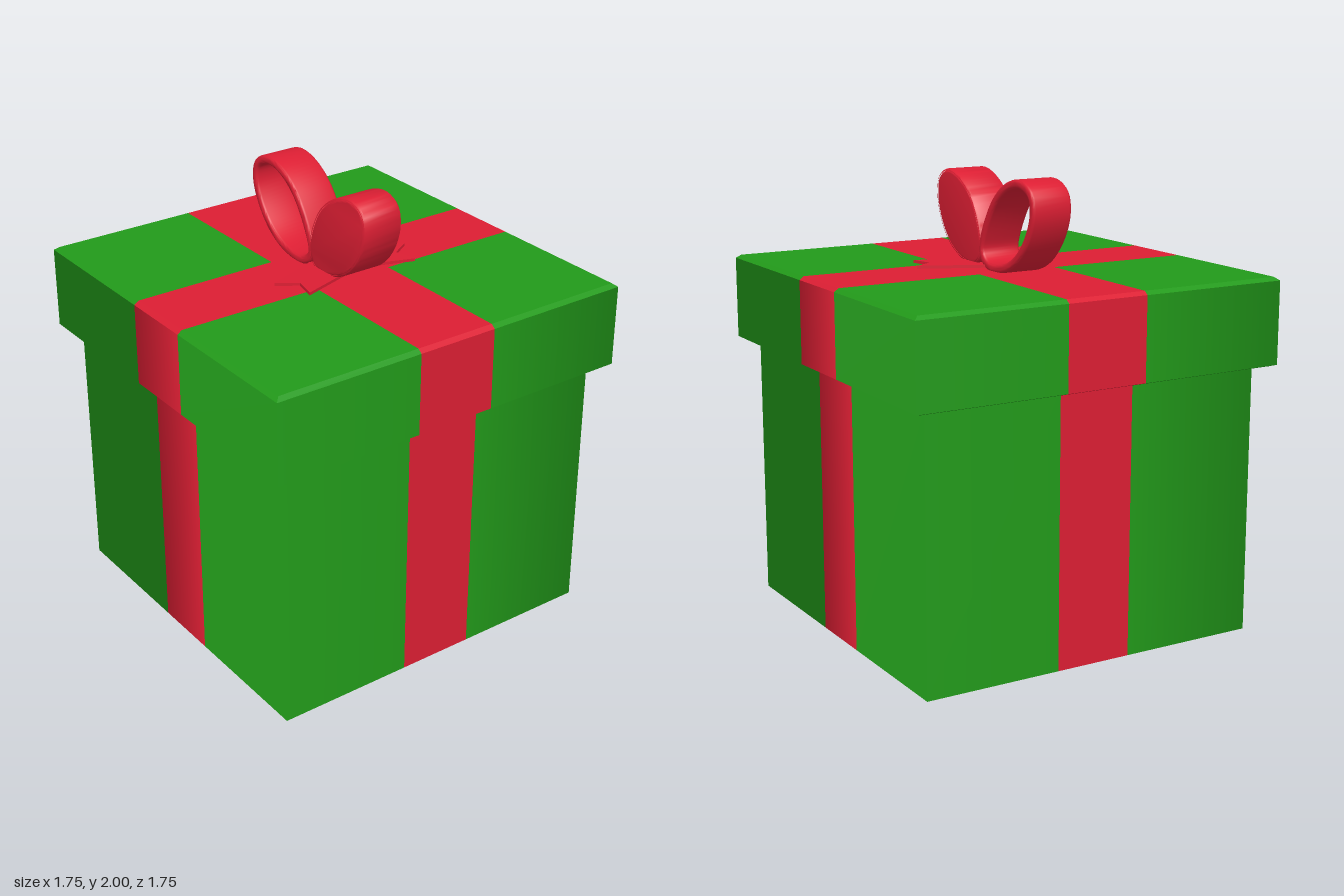
import * as THREE from 'three';
import { toCreasedNormals } from 'three/addons/utils/BufferGeometryUtils.js';

const green = new THREE.MeshStandardMaterial({ color: 0x229a1a });
const red = new THREE.MeshStandardMaterial({ color: 0xdc1e33 });

// Square box whose faces are divided by a flush ribbon cross.
// rows lists [y, half width] from bottom to top.
function ribbonedBox(name, rows, bandX, bandZ) {
  const n = rows.length - 1;
  const g = new THREE.BoxGeometry(3, n, 3, 3, n, 3).toNonIndexed();
  const p = g.attributes.position;
  for (let i = 0; i < p.count; i++) {
    const [y, half] = rows[Math.round(p.getY(i) + n / 2)];
    const place = (v, band) => Math.sign(v) * (Math.abs(v) > 1 ? half : band);
    p.setXYZ(i, place(p.getX(i), bandX), y, place(p.getZ(i), bandZ));
  }
  g.computeVertexNormals();

  // soften the shading round the upright corners
  const normal = g.attributes.normal;
  for (let i = 0; i < p.count; i++) {
    const x = p.getX(i), z = p.getZ(i);
    if (Math.abs(normal.getY(i)) < 0.1 && Math.abs(x) > bandX && Math.abs(z) > bandZ) {
      normal.setXYZ(i, Math.sign(x) * Math.SQRT1_2, 0, Math.sign(z) * Math.SQRT1_2);
    }
  }

  // sort the triangles into wrapping and ribbon
  const paper = [], ribbon = [];
  for (let i = 0; i < p.count; i += 3) {
    const cx = (p.getX(i) + p.getX(i + 1) + p.getX(i + 2)) / 3;
    const cz = (p.getZ(i) + p.getZ(i + 1) + p.getZ(i + 2)) / 3;
    const onRibbon = Math.abs(cx) < bandX || Math.abs(cz) < bandZ;
    (onRibbon ? ribbon : paper).push(i, i + 1, i + 2);
  }
  const group = new THREE.Group();
  group.name = name;
  for (const [label, index, material] of [['Paper', paper, green], ['Ribbon', ribbon, red]]) {
    const part = g.clone();
    part.setIndex(index);
    const mesh = new THREE.Mesh(part, material);
    mesh.name = name + label;
    group.add(mesh);
  }
  return group;
}

// Closed ribbon loop following a centre line, rounded at its rims.
function bowLoop(name, points, thickness) {
  const curve = new THREE.CatmullRomCurve3(
    points.map(([x, y]) => new THREE.Vector3(x, y, 0)), true, 'centripetal');
  const bevel = thickness * 0.35;
  const outline = (d) => Array.from({ length: 64 }, (_, i) => {
    const c = curve.getPointAt(i / 64), t = curve.getTangentAt(i / 64);
    return new THREE.Vector2(c.x + t.y * d, c.y - t.x * d);
  });
  const d = thickness / 2 - bevel;
  const shape = new THREE.Shape(outline(d));
  shape.holes.push(new THREE.Path(outline(-d)));
  const depth = 0.19 - 2 * bevel;
  const g = new THREE.ExtrudeGeometry(shape, {
    depth, bevelEnabled: true, bevelSize: bevel, bevelThickness: bevel, bevelSegments: 3,
  });
  g.translate(0, 0, -depth / 2 - 0.005);
  const mesh = new THREE.Mesh(toCreasedNormals(g, 0.9), red);
  mesh.name = name;
  return mesh;
}

// Flat notched ribbon end lying on the lid, rising by `lift` at its tip.
function bowTail(name, outline, lift) {
  const shape = new THREE.Shape(outline.map(([x, z]) => new THREE.Vector2(x, -z)));
  const g = new THREE.ExtrudeGeometry(shape, { depth: 0.013, bevelEnabled: false });
  g.rotateX(-Math.PI / 2);
  const p = g.attributes.position;
  for (let i = 0; i < p.count; i++) {
    p.setY(i, p.getY(i) + 1.593 + lift * Math.abs(p.getZ(i)) / 0.36);
  }
  g.computeVertexNormals();
  const mesh = new THREE.Mesh(g, red);
  mesh.name = name;
  return mesh;
}

export function createModel() {
  const model = new THREE.Group();
  model.name = 'giftBox';

  // box and overhanging lid with slightly bevelled rims
  model.add(ribbonedBox('box', [[0, 0.797], [1.21, 0.797]], 0.157, 0.175));
  model.add(ribbonedBox('lid',
    [[1.2, 0.85], [1.208, 0.873], [1.573, 0.873], [1.588, 0.853]], 0.17, 0.188));

  // bow
  const bow = new THREE.Group();
  bow.name = 'bow';
  bow.add(bowLoop('rightLoop', [
    [-0.02, 1.66], [-0.045, 1.75], [-0.14, 1.895], [-0.25, 1.967], [-0.35, 1.98],
    [-0.425, 1.94], [-0.44, 1.865], [-0.4, 1.76], [-0.31, 1.66], [-0.2, 1.609], [-0.07, 1.608],
  ], 0.038));
  bow.add(bowLoop('leftLoop', [
    [-0.015, 1.66], [0, 1.76], [0.065, 1.88], [0.165, 1.955], [0.27, 1.98],
    [0.34, 1.945], [0.355, 1.87], [0.325, 1.77], [0.25, 1.675], [0.14, 1.618], [0.03, 1.61],
  ], 0.027));
  bow.add(bowTail('frontTail',
    [[-0.07, 0], [0.085, 0.345], [0.135, 0.25], [0.24, 0.275], [0.135, 0]], 0.02));
  bow.add(bowTail('backTail',
    [[0.085, 0], [0.2, -0.31], [0.1, -0.285], [0.045, -0.375], [-0.1, 0]], 0.004));
  model.add(bow);
  return model;
}
